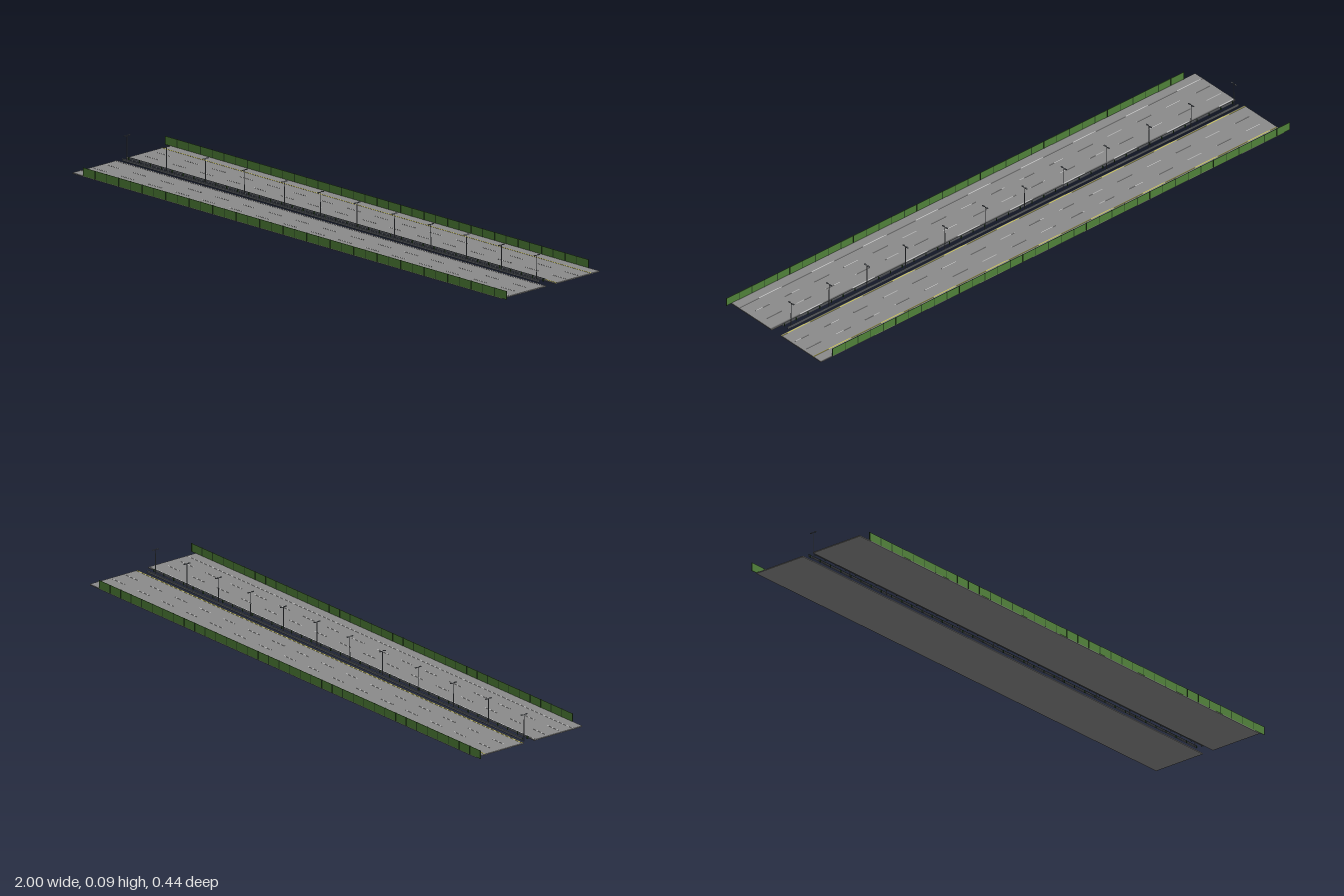
import * as THREE from 'three';

const material = (color) => new THREE.MeshStandardMaterial({ color });

export function createModel() {
  const road = new THREE.Group();
  road.name = 'dividedHighway';

  const asphalt = material(0x8a8a8a);
  const white = material(0xe6e6e6);
  const yellow = material(0xd8cf4a);
  const green = material(0x4f8038);
  const darkGreen = material(0x2c4a24);
  const steel = material(0x70757c);

  const box = (parent, name, size, pos, mat) => {
    const mesh = new THREE.Mesh(new THREE.BoxGeometry(...size), mat);
    mesh.position.set(...pos);
    mesh.name = name;
    parent.add(mesh);
    return mesh;
  };
  const group = (name) => {
    const g = new THREE.Group();
    g.name = name;
    road.add(g);
    return g;
  };

  // One carriageway, noise wall and guardrail on each side of the median
  for (const s of [1, -1]) {
    const side = s > 0 ? 'front' : 'back';

    // Road slab
    const deck = group(side + 'Carriageway');
    box(deck, 'roadSlab', [1.955, 0.0035, 0.196], [0, 0.0062, s * 0.119], asphalt);

    // Continuous edge lines
    const lineMat = s > 0 ? white : yellow;
    for (const z of [0.027, 0.18]) {
      box(deck, 'edgeLine', [1.955, 0.0006, 0.0025], [0, 0.0082, s * z], lineMat);
    }

    // Dashed lane lines
    for (const z of [0.078, 0.133]) {
      for (let i = 0; i < 16; i++) {
        box(deck, 'laneDash', [0.06, 0.0006, 0.002], [s * (-0.935 + i * 0.1235), 0.0082, s * z], white);
      }
    }

    // Noise wall, set a little along the road
    const wall = group(side + 'NoiseWall');
    const length = 1.93, centre = s * 0.035, z = s * 0.2165, bays = 36;
    box(wall, 'wallPanel', [length, 0.028, 0.0014], [centre, 0.021, z], green);
    for (let i = 0; i <= bays; i++) {
      const x = centre + (i / bays - 0.5) * (length - 0.003);
      box(wall, 'wallPost', [0.003, 0.0285, 0.0026], [x, 0.0212, z], darkGreen);
    }

    // Corrugated guardrail beam swept along x
    const rail = group(side + 'Guardrail');
    const profile = new THREE.Shape();
    const outer = [[0, 0], [0.002, 0.0015], [0.002, 0.003], [0, 0.0045],
      [0.002, 0.006], [0.002, 0.0075], [0, 0.009]];
    outer.forEach(([a, b], i) => (i ? profile.lineTo(a, b) : profile.moveTo(a, b)));
    [...outer].reverse().forEach(([a, b]) => profile.lineTo(a - 0.0009, b));
    const beamGeo = new THREE.ExtrudeGeometry(profile, { depth: 1.9, bevelEnabled: false });
    beamGeo.translate(0, 0, -0.95);
    const beam = new THREE.Mesh(beamGeo, steel);
    beam.name = 'railBeam';
    beam.rotation.y = s > 0 ? -Math.PI / 2 : Math.PI / 2;
    beam.position.set(-0.01, 0.008, s * 0.0125);
    rail.add(beam);

    // Short rail posts behind the beam
    for (let i = 0; i <= 38; i++) {
      box(rail, 'railPost', [0.003, 0.009, 0.0025], [-0.955 + i * 0.0497, 0.0115, s * 0.0103], darkGreen);
    }
  }

  // Twin-armed street lamps along the median
  const lampX = [-0.952, -0.772, -0.594, -0.416, -0.235, -0.07,
    0.096, 0.266, 0.432, 0.594, 0.754, 0.914];
  const poleGeo = new THREE.CylinderGeometry(0.001, 0.0016, 0.091, 8);
  for (const x of lampX) {
    const lamp = group('streetLamp');
    lamp.position.x = x;
    const pole = new THREE.Mesh(poleGeo, steel);
    pole.name = 'lampPole';
    pole.position.y = 0.0455;
    lamp.add(pole);
    box(lamp, 'lampArm', [0.0014, 0.0014, 0.018], [0, 0.0915, 0], steel);
    for (const s of [1, -1]) {
      box(lamp, 'lampHead', [0.0045, 0.0022, 0.008], [0, 0.0917, s * 0.0085], steel);
    }
  }

  return road;
}
